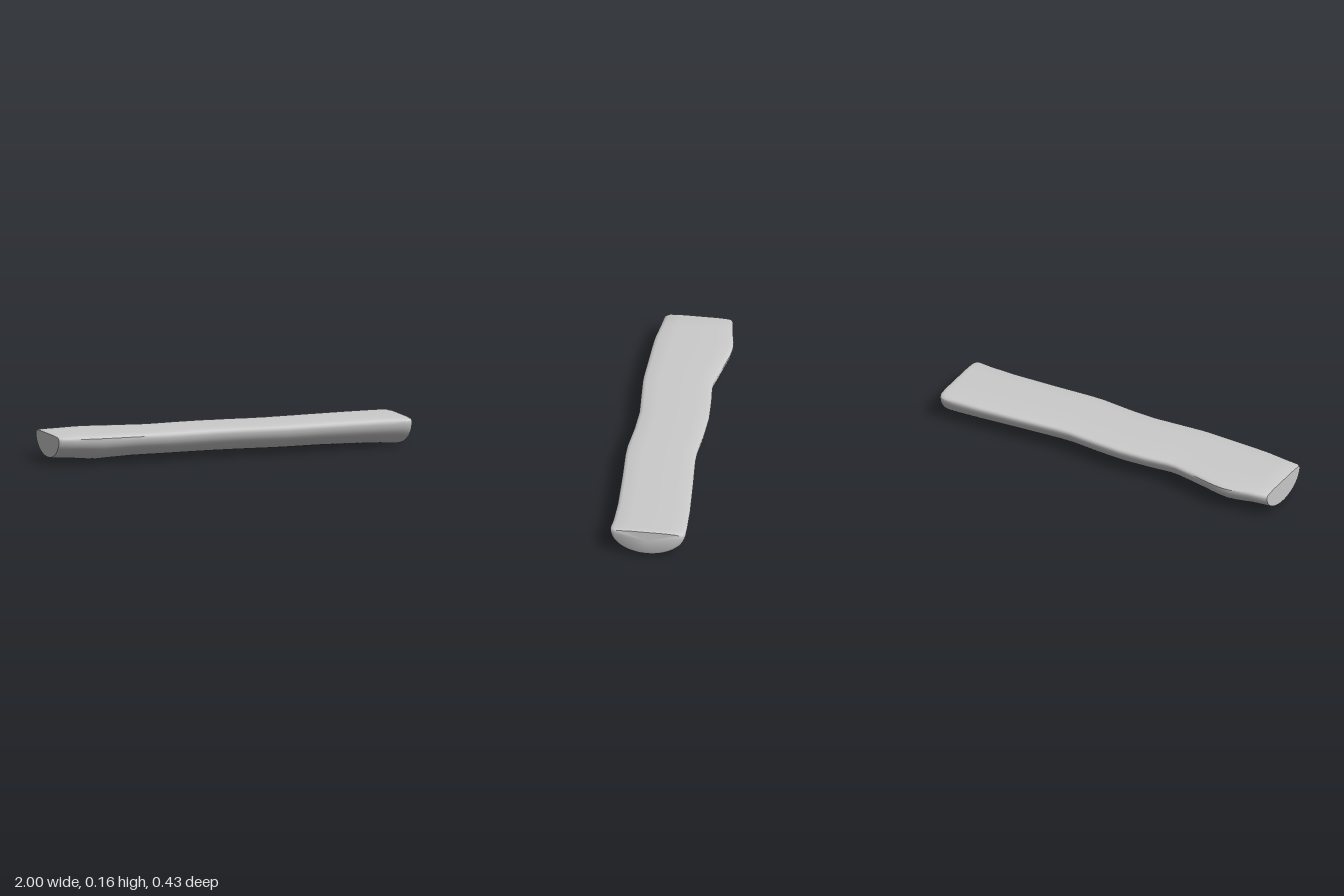
import * as THREE from 'three';
import { toCreasedNormals } from 'three/addons/utils/BufferGeometryUtils.js';

// Stations along the log: x, back edge z, front edge z, lowest y, top y
const STATIONS = [
  [-1, -0.18, 0.17, 0.03, 0.157],
  [-0.985, -0.186, 0.181, 0.026, 0.16],
  [-0.9, -0.197, 0.19, 0.022, 0.16],
  [-0.8, -0.216, 0.203, 0.012, 0.16],
  [-0.75, -0.22, 0.206, 0.008, 0.16],
  [-0.69, -0.215, 0.208, 0.012, 0.16],
  [-0.55, -0.189, 0.211, 0.02, 0.16],
  [-0.43, -0.166, 0.214, 0.022, 0.16],
  [-0.38, -0.162, 0.213, 0.022, 0.16],
  [-0.25, -0.175, 0.203, 0.021, 0.16],
  [-0.1, -0.184, 0.191, 0.02, 0.16],
  [0.05, -0.179, 0.196, 0.02, 0.16],
  [0.22, -0.166, 0.211, 0.02, 0.16],
  [0.3, -0.167, 0.21, 0.019, 0.16],
  [0.5, -0.184, 0.198, 0.018, 0.16],
  [0.75, -0.203, 0.187, 0.012, 0.16],
  [0.9, -0.209, 0.189, 0.006, 0.16],
  [0.96, -0.209, 0.195, 0.002, 0.16],
  [0.98, -0.205, 0.194, 0.005, 0.16],
  [0.992, -0.197, 0.187, 0.013, 0.159],
  [1, -0.183, 0.173, 0.027, 0.156],
];
const ARC = 28;
// Flat top with softened edges: fraction of half width, drop below the top
const TOP = [[-0.96, 0.007], [-0.89, 0.003], [-0.55, 0], [0, 0], [0.55, 0], [0.89, 0.003], [0.96, 0.007]];

// Half-round cross-section, running front edge -> underside -> back edge -> top
function section([x, back, front, low, top]) {
  const mid = (back + front) / 2, half = (front - back) / 2, edge = top - 0.015;
  const ring = [];
  for (let i = 0; i <= ARC; i++) {
    const a = (i / ARC) * Math.PI;
    ring.push([x, edge - (edge - low) * Math.sin(a), mid + half * Math.cos(a)]);
  }
  for (const [f, drop] of TOP) ring.push([x, top - drop, mid + half * f]);
  return ring;
}

function logGeometry() {
  const rings = STATIONS.map(section), n = rings[0].length, last = rings.length - 1;
  const positions = rings.flat(2), index = [];
  for (let s = 0; s < last; s++) {
    for (let i = 0; i < n; i++) {
      const j = (i + 1) % n;
      const a = s * n + i, b = s * n + j, c = a + n, d = b + n;
      index.push(a, b, c, b, d, c);
    }
  }
  // End caps
  const left = rings.length * n, right = left + 1;
  positions.push(-1, 0.1, 0, 1, 0.1, 0);
  for (let i = 0; i < n; i++) {
    const j = (i + 1) % n;
    index.push(left, j, i, right, last * n + i, last * n + j);
  }
  const geometry = new THREE.BufferGeometry();
  geometry.setAttribute('position', new THREE.Float32BufferAttribute(positions, 3));
  geometry.setIndex(index);
  return toCreasedNormals(geometry, THREE.MathUtils.degToRad(50));
}

export function createModel() {
  const group = new THREE.Group();
  group.name = 'splitLog';
  const log = new THREE.Mesh(logGeometry(), new THREE.MeshStandardMaterial({ color: 0xcccccc }));
  log.name = 'halfLogPlank';
  group.add(log);
  return group;
}
